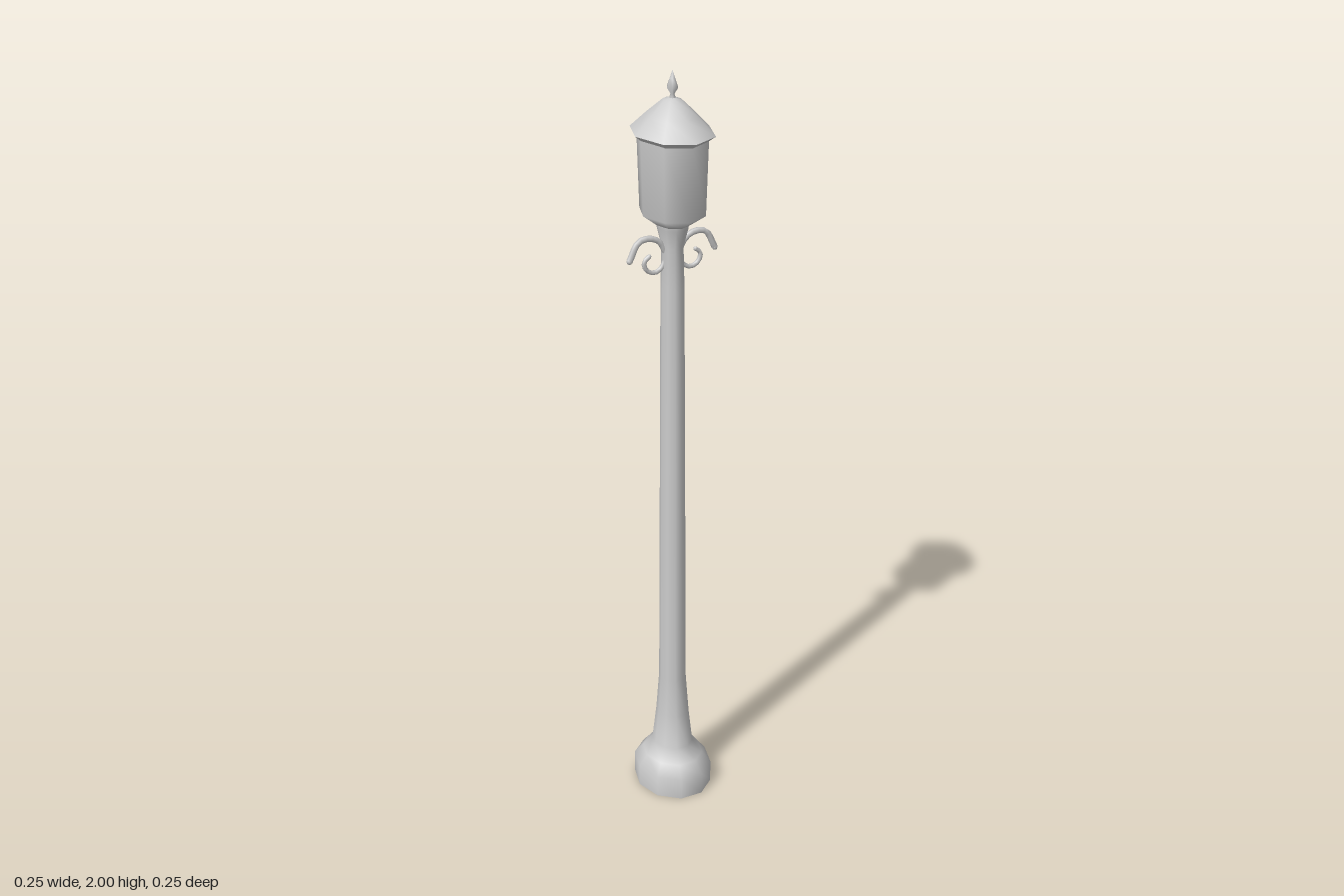
import * as THREE from 'three';

const castMetal = new THREE.MeshStandardMaterial({ color: 0xcccccc });

// Smooth oval turning from [radius, height] pairs, squeezed in x
function turned(name, profile, sides, squeeze) {
  const points = profile.map(([r, y]) => new THREE.Vector2(r, y));
  const geometry = new THREE.LatheGeometry(points, sides, Math.PI / 2);
  geometry.scale(squeeze, 1, 1);
  const mesh = new THREE.Mesh(geometry, castMetal);
  mesh.name = name;
  return mesh;
}

// Bent rod through [x, y] points, closed by a small ball at its free end
function rod(name, path, radius, side) {
  const points = path.map(([x, y]) => new THREE.Vector3(x * side, y, 0));
  const group = new THREE.Group();
  group.name = name;
  const curve = new THREE.CatmullRomCurve3(points);
  group.add(new THREE.Mesh(new THREE.TubeGeometry(curve, 10, radius, 6), castMetal));
  const tip = new THREE.Mesh(new THREE.SphereGeometry(radius, 6, 4), castMetal);
  tip.position.copy(points[points.length - 1]);
  group.add(tip);
  return group;
}

export function createModel() {
  const model = new THREE.Group();
  model.name = 'streetLamp';

  // Foot, flared stem and neck
  model.add(turned('footUnderside', [[0, 0], [0.119, 0]], 10, 0.83));
  model.add(turned('post', [
    [0.119, 0], [0.119, 0.06], [0.092, 0.09], [0.062, 0.125], [0.05, 0.22],
    [0.041, 0.33], [0.034, 1.45], [0.031, 1.56], [0.045, 1.61], [0.046, 1.63],
  ], 10, 0.85));

  // Lantern body
  model.add(turned('lantern', [
    [0, 1.62], [0.052, 1.62], [0.096, 1.648], [0.103, 1.838],
  ], 8, 0.83));

  // Roof with its sloping underside
  model.add(turned('roofUnderside', [[0.1, 1.833], [0.125, 1.85]], 8, 0.8));
  model.add(turned('roof', [
    [0.125, 1.85], [0.075, 1.892], [0.028, 1.928], [0, 1.935],
  ], 8, 0.8));

  // Finial
  model.add(turned('finial', [
    [0.012, 1.925], [0.006, 1.942], [0.017, 1.958], [0.008, 1.98], [0, 2],
  ], 6, 0.87));

  // Mirrored scroll brackets
  for (const side of [-1, 1]) {
    const label = side > 0 ? 'left' : 'right';
    model.add(rod(label + 'Arm',
      [[0.018, 1.545], [0.035, 1.575], [0.06, 1.588], [0.092, 1.584], [0.118, 1.538]], 0.008, side));
    model.add(rod(label + 'Scroll',
      [[0.018, 1.535], [0.03, 1.508], [0.05, 1.498], [0.072, 1.508], [0.078, 1.53], [0.064, 1.542]], 0.006, side));
  }
  return model;
}
